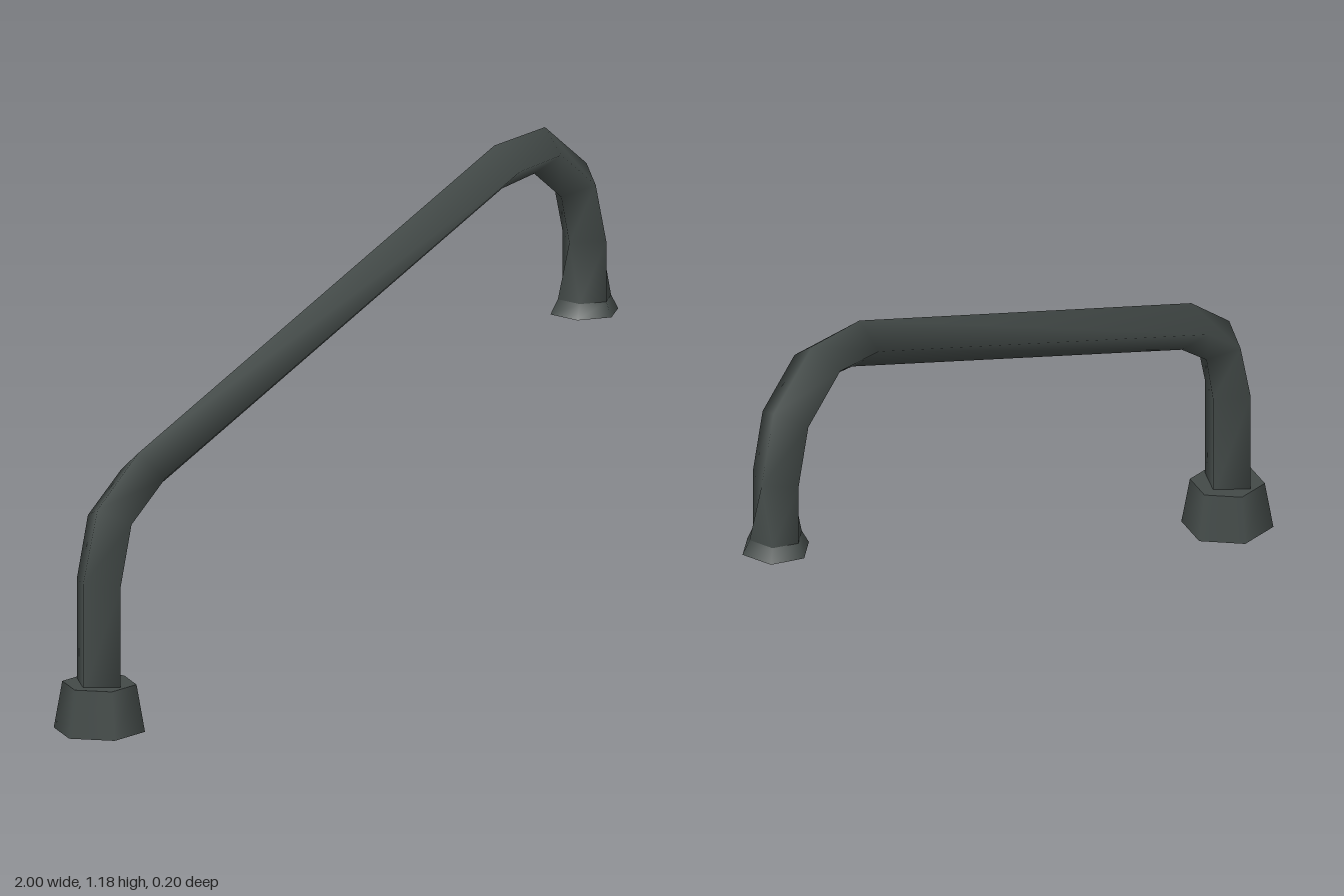
import * as THREE from 'three';
import { mergeVertices } from 'three/addons/utils/BufferGeometryUtils.js';

// Each station: outer point x, y, inner point x, y, half depth in z, flat width (0 = diamond, 1 = hexagon)
const pipeStations = [
  [-0.948, 0.10, -0.83, 0.10, 0.07, 0],
  [-0.948, 0.377, -0.83, 0.366, 0.07, 0],
  [-0.894, 0.555, -0.803, 0.486, 0.07, 0],
  [-0.742, 0.667, -0.704, 0.555, 0.07, 0],
  [0.588, 1.172, 0.617, 1.058, 0.07, 0],
  [0.777, 1.18, 0.737, 1.071, 0.07, 0],
  [0.932, 1.058, 0.838, 0.991, 0.07, 0],
  [0.981, 0.88, 0.868, 0.87, 0.07, 0],
  [0.983, 0.722, 0.866, 0.722, 0.07, 1],
];
const mouthStations = [
  pipeStations[pipeStations.length - 1],
  [1.0, 0.686, 0.848, 0.686, 0.087, 1],
];

// Six points around one station
function ring([ox, oy, ix, iy, r, flat]) {
  const cx = (ox + ix) / 2, cy = (oy + iy) / 2, s = (r / 2) * flat;
  return [
    [ox, oy, -s], [ox, oy, s], [cx, cy, r],
    [ix, iy, s], [ix, iy, -s], [cx, cy, -r],
  ];
}

function smoothGeometry(points, index) {
  const g = new THREE.BufferGeometry();
  g.setAttribute('position', new THREE.Float32BufferAttribute(points.flat(), 3));
  g.setIndex(index);
  const merged = mergeVertices(g, 1e-4);
  merged.computeVertexNormals();
  return merged;
}

// Skin between neighbouring stations
function loft(stations) {
  const index = [];
  for (let i = 0; i < stations.length - 1; i++) {
    for (let k = 0; k < 6; k++) {
      const a = i * 6 + k, b = i * 6 + (k + 1) % 6;
      index.push(a, b, b + 6, a, b + 6, a + 6);
    }
  }
  return smoothGeometry(stations.flatMap(ring), index);
}

export function createModel() {
  const group = new THREE.Group();
  const metal = new THREE.MeshStandardMaterial({ color: 0x434a48 });
  metal.name = 'dark metal';

  const add = (name, geometry) => {
    const mesh = new THREE.Mesh(geometry, metal);
    mesh.name = name;
    group.add(mesh);
    return mesh;
  };

  // Tapered hexagonal foot, corners pointing along x
  const foot = add('baseCollar', new THREE.CylinderGeometry(0.092, 0.113, 0.118, 6).rotateY(Math.PI / 2));
  foot.position.set(-0.887, 0.059, 0);

  // Bent pipe, flared mouth and its closing face
  add('spoutPipe', loft(pipeStations));
  add('spoutMouth', loft(mouthStations));
  add('mouthFace', smoothGeometry(ring(mouthStations[1]), [0, 1, 2, 0, 2, 3, 0, 3, 4, 0, 4, 5]));

  return group;
}
